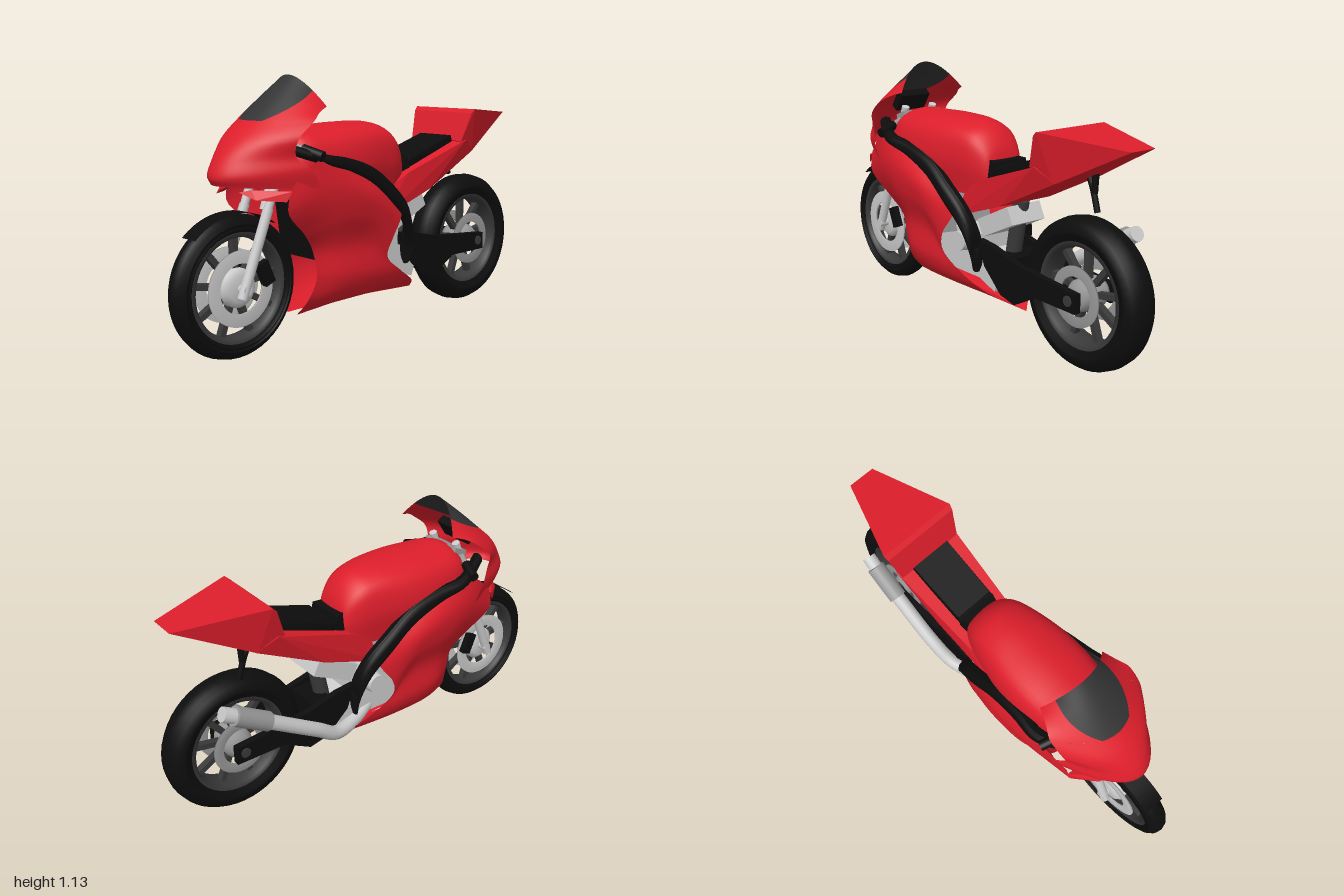
import * as THREE from 'three';
import { ParametricGeometry } from 'three/addons/geometries/ParametricGeometry.js';
import { ConvexGeometry } from 'three/addons/geometries/ConvexGeometry.js';

const paint = (color) => new THREE.MeshStandardMaterial({ color, side: THREE.DoubleSide });
const V = (p) => new THREE.Vector3(...p);

export function createModel() {
  const model = new THREE.Group();
  const red = paint(0xdd1e2b), black = paint(0x0d0d0d), smoke = paint(0x333333);
  const dark = paint(0x3a3a3a), grey = paint(0xcccccc), steel = paint(0x999999);

  const add = (name, geometry, material, parent = model) => {
    const mesh = new THREE.Mesh(geometry, material);
    mesh.name = name;
    parent.add(mesh);
    return mesh;
  };
  const mirror = (pts, s) => pts.map(([x, y, z]) => [x * s, y, z]);

  // Smooth skin through columns of points; map picks a sub-area
  const loft = (name, cols, mat, nu = 24, nv = 24, map = (u, v) => [u, v]) => {
    const curves = cols.map((c) => new THREE.CatmullRomCurve3(c.map(V)));
    const f = (u, v, target) => {
      const [a, b] = map(u, v);
      target.copy(new THREE.CatmullRomCurve3(curves.map((c) => c.getPoint(b))).getPoint(a));
    };
    return add(name, new ParametricGeometry(f, nu, nv), mat);
  };
  // Convex solid, symmetric about x = 0
  const hull = (name, half, mat) =>
    add(name, new ConvexGeometry([...half, ...mirror(half, -1)].map(V)), mat);
  const tube = (name, pts, r, mat) =>
    add(name, new THREE.TubeGeometry(new THREE.CatmullRomCurve3(pts.map(V)), 32, r, 12), mat);
  const rod = (name, a, b, r, mat, r2 = r) => {
    const A = V(a), B = V(b), d = B.clone().sub(A);
    const m = add(name, new THREE.CylinderGeometry(r2, r, d.length(), 20), mat);
    m.position.copy(A).add(B).multiplyScalar(0.5);
    m.quaternion.setFromUnitVectors(new THREE.Vector3(0, 1, 0), d.normalize());
    return m;
  };
  const box = (name, size, pos, mat, rx = 0) => {
    const m = add(name, new THREE.BoxGeometry(...size), mat);
    m.position.set(...pos);
    m.rotation.x = rx;
    return m;
  };
  // Side outline [z, y] extruded across x0..x1
  const plate = (name, outline, x0, x1, mat) => {
    const shape = new THREE.Shape(outline.map(([z, y]) => new THREE.Vector2(-z, y)));
    const g = new THREE.ExtrudeGeometry(shape, { depth: x1 - x0, bevelEnabled: false });
    return add(name, g.rotateY(Math.PI / 2).translate(x0, 0, 0), mat);
  };

  // Wheels: lathed parts turn about the x axis
  const lathe = (name, pts, mat, parent) => add(name,
    new THREE.LatheGeometry(pts.map((p) => new THREE.Vector2(...p)), 48).rotateZ(Math.PI / 2), mat, parent);
  const wheel = (name, y, z, R, w, rim, disc, hub, hubMat, spokes) => {
    const g = new THREE.Group();
    g.name = name;
    g.position.set(0, y, z);
    model.add(g);
    lathe('tyre', [[rim, -w * 0.75], [rim + 0.03, -w * 0.95], [R - 0.055, -w], [R - 0.022, -w * 0.82],
      [R - 0.006, -w * 0.5], [R, 0], [R - 0.006, w * 0.5], [R - 0.022, w * 0.82], [R - 0.055, w],
      [rim + 0.03, w * 0.95], [rim, w * 0.75]], black, g);
    lathe('rim', [[rim, -w * 0.76], [rim - 0.02, -w * 0.7], [rim - 0.025, 0], [rim - 0.02, w * 0.7], [rim, w * 0.76]], dark, g);
    lathe('hub', [[0, -w], [hub * 0.7, -w], [hub, -w * 0.6], [hub, w * 0.6], [hub * 0.7, w], [0, w]], hubMat, g);
    for (let i = 0; i < spokes; i++) {
      const spoke = add('spoke', new THREE.BoxGeometry(0.03, rim - 0.04, 0.025).translate(0, rim / 2 + 0.01, 0), dark, g);
      spoke.rotation.x = (i / spokes) * Math.PI * 2;
    }
    for (const s of [-1, 1]) {
      const x = s * w * 0.9;
      lathe('brakeDisc', [[disc * 0.66, x - 0.004], [disc, x - 0.004], [disc, x + 0.004],
        [disc * 0.66, x + 0.004], [disc * 0.66, x - 0.004]], hubMat, g);
    }
  };
  wheel('frontWheel', 0.31, 0.708, 0.293, 0.052, 0.225, 0.155, 0.08, grey, 9);
  wheel('rearWheel', 0.32, -0.685, 0.315, 0.075, 0.22, 0.125, 0.065, steel, 9);

  // Front mudguard hugging the tyre
  const guard = new THREE.CylinderGeometry(0.3, 0.3, 0.09, 24, 1, true, 0, 1.4).rotateZ(Math.PI / 2);
  const fender = add('frontFender', guard, black);
  fender.position.set(0, 0.31, 0.708);
  fender.rotation.x = -0.82;

  // Nose cowl rows: front z, y; rear z, y; half width
  const rows = [[0.42, 1.14, 0.36, 1.015, 0.17], [0.52, 1.06, 0.42, 0.995, 0.195], [0.63, 0.965, 0.47, 0.965, 0.22],
    [0.72, 0.885, 0.55, 0.895, 0.217], [0.775, 0.815, 0.55, 0.83, 0.205], [0.8, 0.75, 0.5, 0.78, 0.236],
    [0.785, 0.72, 0.45, 0.7, 0.24]];
  const nose = [];
  for (let i = 0; i <= 12; i++) {
    const t = (i / 12 - 0.5) * Math.PI, k = Math.cos(t) ** 2;
    nose.push(rows.map(([zf, yf, zr, yr, w]) => [w * Math.sin(t), yr + (yf - yr) * k, zr + (zf - zr) * k]));
  }
  const half = (v) => 0.25 - 0.14 * v ** 3; // screen half span, narrowing downward
  loft('windscreen', nose, smoke, 16, 12, (u, v) => [0.5 + (2 * u - 1) * half(v), v / 3]);
  loft('cowlRight', nose, red, 10, 12, (u, v) => [u * (0.5 - half(v)), v / 3]);
  loft('cowlLeft', nose, red, 10, 12, (u, v) => [1 - (1 - u) * (0.5 - half(v)), v / 3]);
  loft('noseCowl', nose, red, 32, 20, (u, v) => [u, (1 + 2 * v) / 3]);

  // Side fairing columns, front to rear, each from top to keel
  const fairing = [
    [[0.205, 0.72, 0.57], [0.2, 0.62, 0.59], [0.168, 0.51, 0.48], [0.14, 0.43, 0.415], [0.135, 0.31, 0.39], [0.095, 0.21, 0.405], [0.03, 0.14, 0.41]],
    [[0.225, 0.81, 0.45], [0.238, 0.69, 0.4], [0.222, 0.57, 0.34], [0.178, 0.44, 0.31], [0.178, 0.3, 0.29], [0.13, 0.205, 0.28], [0.02, 0.145, 0.27]],
    [[0.195, 0.75, 0.2], [0.235, 0.65, 0.17], [0.225, 0.55, 0.14], [0.19, 0.43, 0.12], [0.188, 0.29, 0.1], [0.14, 0.205, 0.08], [0, 0.148, 0.06]],
    [[0.18, 0.58, -0.08], [0.2, 0.51, -0.04], [0.205, 0.44, 0.01], [0.19, 0.36, 0.03], [0.17, 0.28, -0.07], [0.12, 0.205, -0.2], [0, 0.13, -0.32]],
  ];
  // Frame stations: z, top y, bottom y, outer x
  const spar = [[0.55, 0.88, 0.84, 0.17], [0.4, 0.83, 0.785, 0.235], [0.27, 0.805, 0.745, 0.222], [0.12, 0.755, 0.675, 0.212],
    [0, 0.67, 0.58, 0.21], [-0.1, 0.575, 0.48, 0.195], [-0.145, 0.48, 0.37, 0.175], [-0.145, 0.4, 0.29, 0.155]];
  for (const s of [-1, 1]) {
    loft('sideFairing', fairing.map((c) => mirror(c, s)), red, 28, 32);
    loft('frameSpar', spar.map(([z, t, b, x]) => mirror([[x - 0.025, t, z], [x - 0.005, t - 0.01, z], [x, b + 0.01, z],
      [x - 0.035, b, z], [x - 0.055, t - 0.01, z], [x - 0.025, t, z]], s)), black, 30, 15);
    // Chin lip beside the fork
    add('chinLip', new ConvexGeometry(mirror([[0.06, 0.695, 0.72], [0.13, 0.668, 0.69], [0.205, 0.66, 0.6],
      [0.215, 0.7, 0.58], [0.1, 0.705, 0.69], [0.15, 0.69, 0.59]], s).map(V)), red);
    // Fork, caliper and bars
    const x = s * 0.077;
    rod('forkLeg', [x, 0.275, 0.725], [x, 0.62, 0.59], 0.021, grey);
    rod('forkTube', [x, 0.6, 0.598], [x, 0.93, 0.47], 0.018, grey);
    box('brakeCaliper', [0.035, 0.1, 0.05], [s * 0.06, 0.36, 0.6], black, 0.4);
    rod('handlebar', [x, 0.87, 0.5], [s * 0.17, 0.845, 0.46], 0.014, steel);
    rod('handGrip', [s * 0.15, 0.85, 0.47], [s * 0.235, 0.825, 0.44], 0.022, black);
    // Swingarm
    plate('swingarm', [[-0.13, 0.43], [-0.22, 0.42], [-0.38, 0.38], [-0.73, 0.35], [-0.73, 0.27], [-0.5, 0.27],
      [-0.37, 0.2], [-0.28, 0.22], [-0.17, 0.32]], s > 0 ? 0.085 : -0.115, s > 0 ? 0.115 : -0.085, black);
    // Engine side cover
    rod('engineCover', [s * 0.08, 0.4, -0.02], [s * 0.14, 0.4, -0.02], 0.05, grey, 0.042);
  }
  rod('axle', [-0.12, 0.315, -0.69], [0.12, 0.315, -0.69], 0.022, dark);
  rod('frontAxle', [-0.095, 0.31, 0.708], [0.095, 0.31, 0.708], 0.02, grey);
  rod('steeringStem', [0, 0.6, 0.55], [0, 0.88, 0.45], 0.02, grey);
  box('lowerClamp', [0.2, 0.03, 0.07], [0, 0.75, 0.53], steel, 0.37);
  box('upperClamp', [0.2, 0.025, 0.07], [0, 0.89, 0.48], steel, 0.37);
  box('dashboard', [0.16, 0.09, 0.04], [0, 0.95, 0.54], black, -0.6);
  box('swingarmBridge', [0.2, 0.09, 0.1], [0, 0.34, -0.28], black);

  // Fuel tank stations: z, top y, half width
  const tank = [[0.5, 0.87, 0.12], [0.45, 0.92, 0.16], [0.3, 0.932, 0.19], [0.15, 0.937, 0.188], [0, 0.932, 0.16],
    [-0.09, 0.905, 0.135], [-0.155, 0.83, 0.1], [-0.18, 0.72, 0.07]];
  loft('fuelTank', tank.map(([z, t, w]) => [[-w * 0.85, 0.62, z], [-w, 0.62 + (t - 0.62) * 0.5, z], [-w * 0.8, t - (t - 0.62) * 0.15, z],
    [0, t, z], [w * 0.8, t - (t - 0.62) * 0.15, z], [w, 0.62 + (t - 0.62) * 0.5, z], [w * 0.85, 0.62, z]]), red, 32, 32);

  // Tail unit and seat
  hull('seatBase', [[0.13, 0.51, 0], [0.12, 0.64, -0.05], [0.135, 0.7, -0.16], [0.16, 0.825, -0.53],
    [0.14, 0.615, -0.3], [0.13, 0.77, -0.62]], red);
  hull('tailHump', [[0.155, 0.82, -0.5], [0.178, 0.95, -0.545], [0.183, 0.968, -0.565], [0.062, 0.935, -0.94],
    [0.055, 0.925, -0.925], [0.13, 0.765, -0.61]], red);
  hull('seatPad', [[0.095, 0.745, -0.2], [0.09, 0.7, -0.2], [0.095, 0.845, -0.495], [0.095, 0.8, -0.51], [0.09, 0.765, -0.22]], black);
  hull('seatFront', [[0.09, 0.68, -0.14], [0.075, 0.78, -0.15], [0.09, 0.775, -0.2], [0.1, 0.69, -0.21]], black);
  // Forked hanger under the tail
  tube('tailBracket', [[-0.06, 0.8, -0.6], [-0.06, 0.73, -0.635], [-0.06, 0.635, -0.665]], 0.013, black);
  rod('tailBracketStay', [-0.06, 0.79, -0.65], [-0.06, 0.71, -0.645], 0.014, black);

  // Radiator, engine and shock
  box('radiator', [0.24, 0.23, 0.04], [0, 0.495, 0.36], black, 0.15);
  box('cylinderBlock', [0.2, 0.22, 0.2], [0, 0.5, 0.17], steel, 0.3);
  box('crankcase', [0.2, 0.2, 0.3], [0, 0.35, 0.02], grey);
  box('gearbox', [0.2, 0.12, 0.18], [0, 0.3, -0.16], grey, -0.35);
  box('rearCylinder', [0.18, 0.08, 0.22], [0, 0.52, -0.21], grey, 0.45);
  rod('shock', [0, 0.32, -0.22], [0, 0.62, -0.28], 0.035, dark);

  // Exhaust on the right side
  tube('exhaustPipe', [[-0.06, 0.29, 0], [-0.1, 0.24, -0.12], [-0.14, 0.24, -0.25], [-0.155, 0.31, -0.36], [-0.155, 0.46, -0.61]], 0.032, grey);
  rod('muffler', [-0.155, 0.455, -0.6], [-0.15, 0.54, -0.75], 0.042, steel);
  rod('mufflerTip', [-0.15, 0.54, -0.75], [-0.145, 0.565, -0.8], 0.032, grey);
  return model;
}
